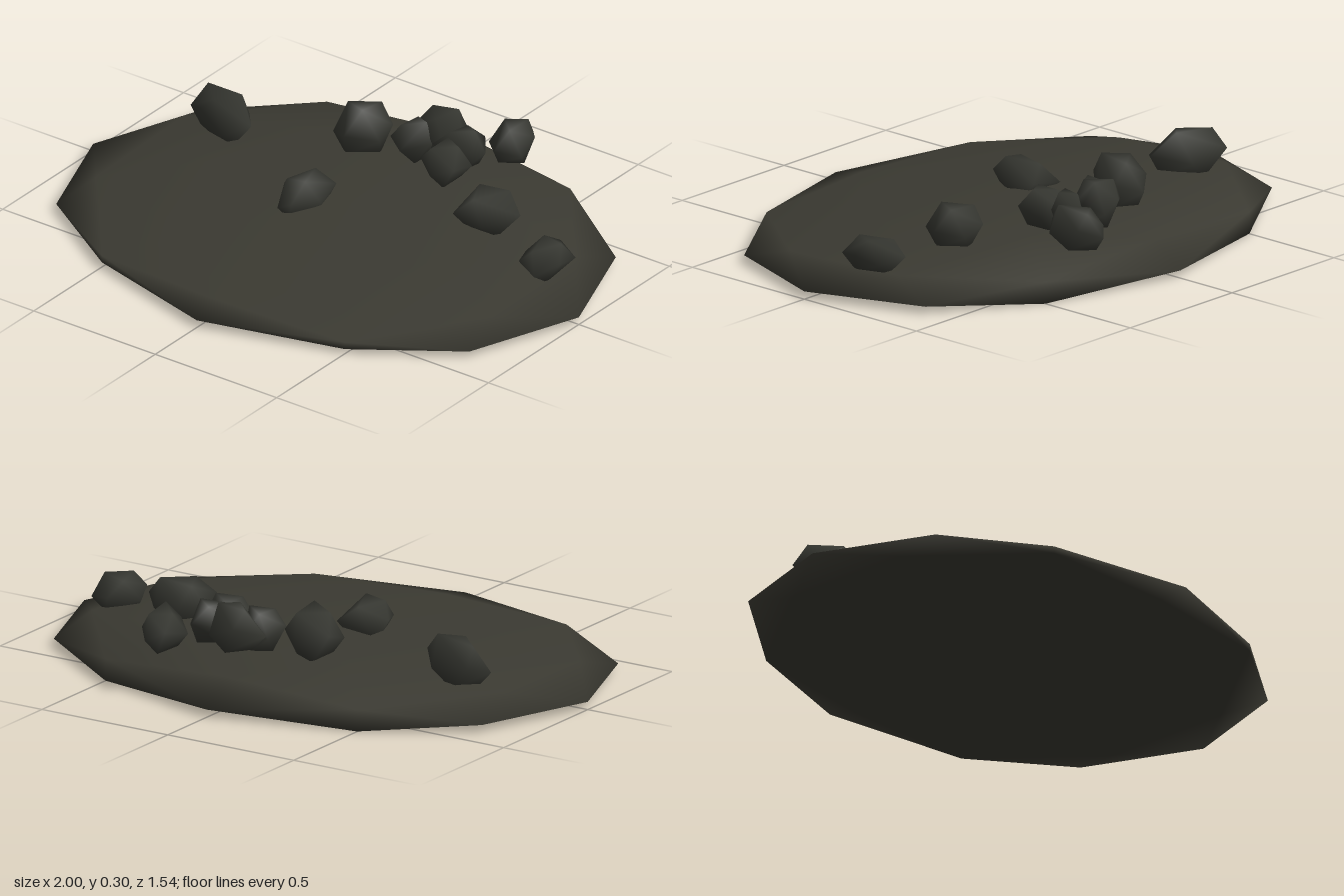
import * as THREE from 'three';
import { mergeVertices } from 'three/addons/utils/BufferGeometryUtils.js';
import { ConvexGeometry } from 'three/addons/geometries/ConvexGeometry.js';

const earth = new THREE.MeshStandardMaterial({ color: 0x3b3a32 });
earth.name = 'dark earth';
const stone = new THREE.MeshStandardMaterial({ color: 0x363731 });
stone.name = 'dark stone';

// Welds all corners so that the normals run smoothly over the surface
function smooth(geometry) {
  geometry.deleteAttribute('normal');
  if (geometry.attributes.uv) geometry.deleteAttribute('uv');
  const welded = mergeVertices(geometry, 1e-4);
  welded.computeVertexNormals();
  return welded;
}

// Mound: a coarse sphere pressed flat, higher at the back, with a flat underside
function moundGeometry() {
  const g = new THREE.IcosahedronGeometry(1, 1);
  const p = g.attributes.position;
  for (let i = 0; i < p.count; i++) {
    const x = p.getX(i), y = p.getY(i), z = p.getZ(i);
    let h = 0.027;
    if (y > 0.01) h += y * (0.104 - 0.066 * z);
    else if (y < -0.01) h = 0.009 + 0.0105 * z;
    p.setXYZ(i, x, h, z * 0.77);
  }
  return smooth(g);
}

// Rock: hull of its widest outline [x, z], a smaller foot and a faceted top
function rockGeometry(outline, low, high) {
  const n = outline.length;
  const cx = outline.reduce((s, q) => s + q[0], 0) / n;
  const cz = outline.reduce((s, q) => s + q[1], 0) / n;
  const height = high - low;
  const points = [];
  const add = (x, z, scale, t) => points.push(new THREE.Vector3(
    cx + (x - cx) * scale, low + height * t, cz + (z - cz) * scale));
  outline.forEach(([x, z], i) => {
    const [nx, nz] = outline[(i + 1) % n];
    add(x, z, 1, i % 2 ? 0.56 : 0.4);
    if (i % 2 === 0) add((x + nx) / 2, (z + nz) / 2, 0.72, i === 2 ? 1 : 0.92);
    else add((x + nx) / 2, (z + nz) / 2, 0.7, 0.02);
  });
  return smooth(new ConvexGeometry(points));
}

// Each rock: bottom height, top height, outline seen from above
const rocks = [
  [0.08, 0.25, [[-0.77, -0.23], [-0.73, -0.315], [-0.58, -0.3], [-0.49, -0.19], [-0.56, -0.12], [-0.7, -0.19]]],
  [0.12, 0.305, [[-0.15, -0.47], [-0.07, -0.41], [-0.065, -0.33], [-0.15, -0.245], [-0.235, -0.3], [-0.24, -0.4]]],
  [0.08, 0.22, [[-0.18, -0.07], [-0.05, -0.07], [-0.03, 0.04], [-0.08, 0.14], [-0.13, 0.15], [-0.19, 0.03]]],
  [0.14, 0.305, [[-0.035, -0.47], [0.05, -0.54], [0.135, -0.555], [0.16, -0.48], [0.14, -0.41], [0.06, -0.4]]],
  [0.13, 0.28, [[-0.03, -0.45], [0.04, -0.46], [0.08, -0.43], [0.1, -0.385], [0.02, -0.325], [-0.04, -0.355]]],
  [0.13, 0.275, [[0.125, -0.39], [0.2, -0.425], [0.27, -0.39], [0.27, -0.29], [0.2, -0.25], [0.125, -0.3]]],
  [0.14, 0.285, [[0.14, -0.46], [0.22, -0.53], [0.265, -0.47], [0.25, -0.42], [0.2, -0.4], [0.11, -0.385]]],
  [0.135, 0.28, [[0.295, -0.695], [0.35, -0.63], [0.375, -0.525], [0.3, -0.47], [0.22, -0.55], [0.245, -0.65]]],
  [0.1, 0.25, [[0.365, -0.21], [0.43, -0.28], [0.53, -0.29], [0.6, -0.215], [0.52, -0.105], [0.41, -0.095]]],
  [0.07, 0.19, [[0.685, -0.13], [0.755, -0.23], [0.845, -0.19], [0.855, -0.09], [0.815, 0], [0.73, -0.03]]],
];

export function createModel() {
  const model = new THREE.Group();
  model.name = 'rockyMound';

  const mound = new THREE.Mesh(moundGeometry(), earth);
  mound.name = 'mound';
  model.add(mound);

  const group = new THREE.Group();
  group.name = 'rocks';
  rocks.forEach(([low, high, outline], i) => {
    const rock = new THREE.Mesh(rockGeometry(outline, low, high), stone);
    rock.name = `rock${i + 1}`;
    group.add(rock);
  });
  model.add(group);
  return model;
}
